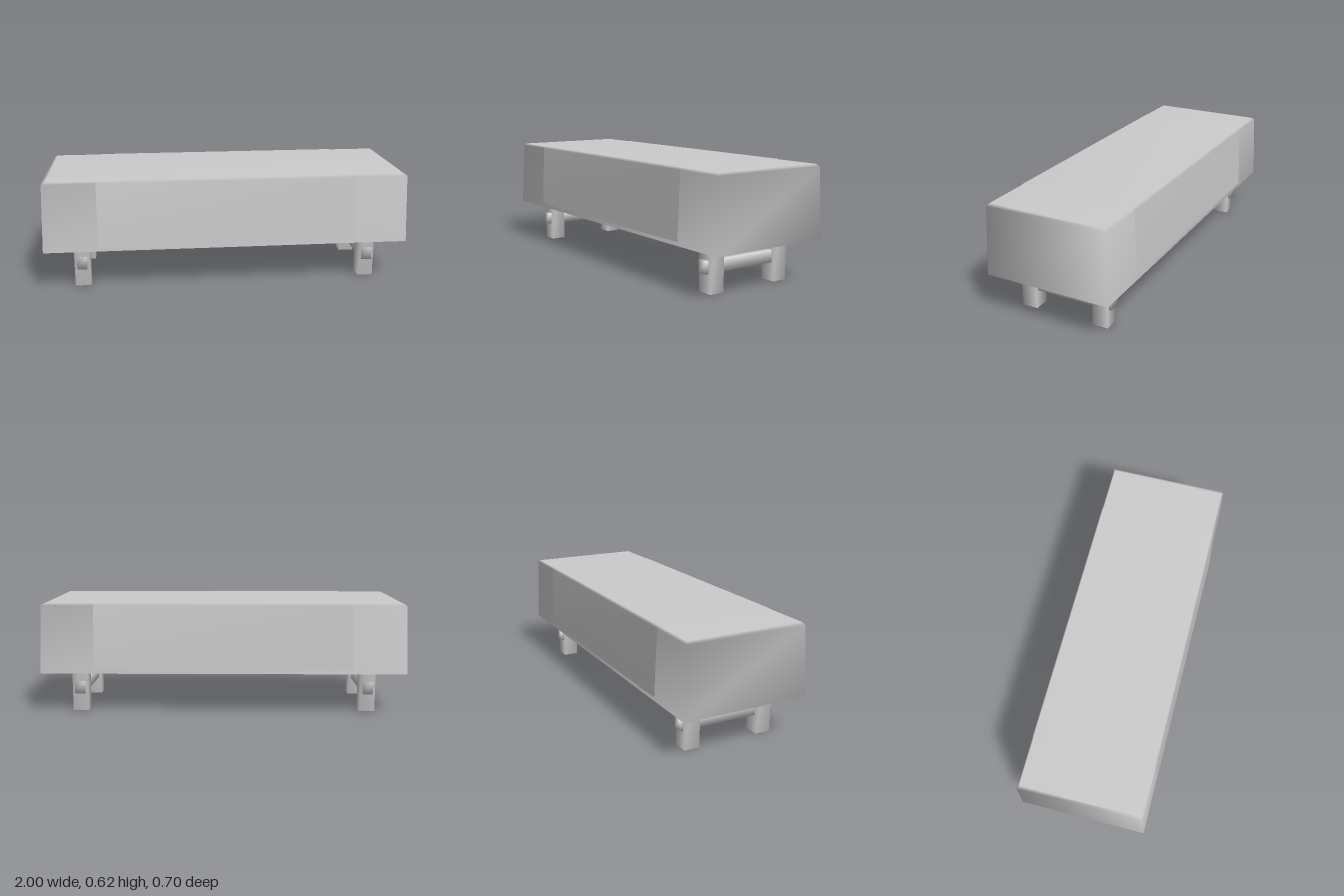
import * as THREE from 'three';
import { mergeVertices } from 'three/addons/utils/BufferGeometryUtils.js';

const grey = new THREE.MeshStandardMaterial({ color: 0xcccccc });
const cloth = new THREE.MeshStandardMaterial({ color: 0xcccccc, side: THREE.DoubleSide });

// Weld the corners so that shading runs smoothly over them
function soften(geometry) {
  geometry.deleteAttribute('normal');
  geometry.deleteAttribute('uv');
  const welded = mergeVertices(geometry);
  welded.computeVertexNormals();
  return welded;
}

function add(parent, name, geometry, material, x = 0, y = 0, z = 0) {
  const mesh = new THREE.Mesh(geometry, material);
  mesh.name = name;
  mesh.position.set(x, y, z);
  parent.add(mesh);
  return mesh;
}

function indexed(positions, index) {
  const geometry = new THREE.BufferGeometry();
  geometry.setAttribute('position', new THREE.Float32BufferAttribute(positions, 3));
  geometry.setIndex(index);
  geometry.computeVertexNormals();
  return geometry;
}

// Draped cover: rectangular rings [y, half width, half depth], open below
function coverGeometry(rings) {
  const positions = [], index = [];
  for (const [y, w, d] of rings) positions.push(-w, y, d, w, y, d, w, y, -d, -w, y, -d);
  for (let r = 0; r < rings.length - 1; r++) {
    for (let i = 0; i < 4; i++) {
      const a = r * 4 + i, b = r * 4 + (i + 1) % 4;
      index.push(a, b, b + 4, a, b + 4, a + 4);
    }
  }
  const t = (rings.length - 1) * 4;
  index.push(t, t + 1, t + 2, t, t + 2, t + 3);
  return indexed(positions, index);
}

// Runner: a [y, z] path swept across the width
function runnerGeometry(path, halfWidth) {
  const positions = [], index = [];
  path.forEach(([y, z], i) => {
    positions.push(-halfWidth, y, z, halfWidth, y, z);
    const a = i * 2;
    if (i < path.length - 1) index.push(a, a + 1, a + 3, a, a + 3, a + 2);
  });
  return indexed(positions, index);
}

export function createModel() {
  const model = new THREE.Group();
  model.name = 'coveredTable';

  add(model, 'tableCover', coverGeometry([
    [0.23, 1.0, 0.348], [0.603, 0.988, 0.332], [0.615, 0.968, 0.324],
  ]), cloth);

  // Band over the front, top and back
  const front = [[0.25, 0.349], [0.604, 0.334], [0.617, 0.325]];
  const back = front.map(([y, z]) => [y, -z]).reverse();
  add(model, 'tableRunner', runnerGeometry([...front, ...back], 0.705), cloth);

  // Trestles: two square legs joined by a through stretcher
  const legHeight = 0.612;
  const legGeometry = soften(new THREE.BoxGeometry(0.086, legHeight, 0.086));
  const stretcherGeometry = soften(new THREE.BoxGeometry(0.055, 0.067, 0.542));
  for (const side of [1, -1]) {
    const trestle = new THREE.Group();
    trestle.name = side > 0 ? 'leftTrestle' : 'rightTrestle';
    trestle.position.x = side * 0.803;
    add(trestle, 'frontLeg', legGeometry, grey, 0, legHeight / 2, 0.212);
    add(trestle, 'backLeg', legGeometry, grey, 0, legHeight / 2, -0.212);
    add(trestle, 'stretcher', stretcherGeometry, grey, 0, 0.134, 0);
    model.add(trestle);
  }
  return model;
}
